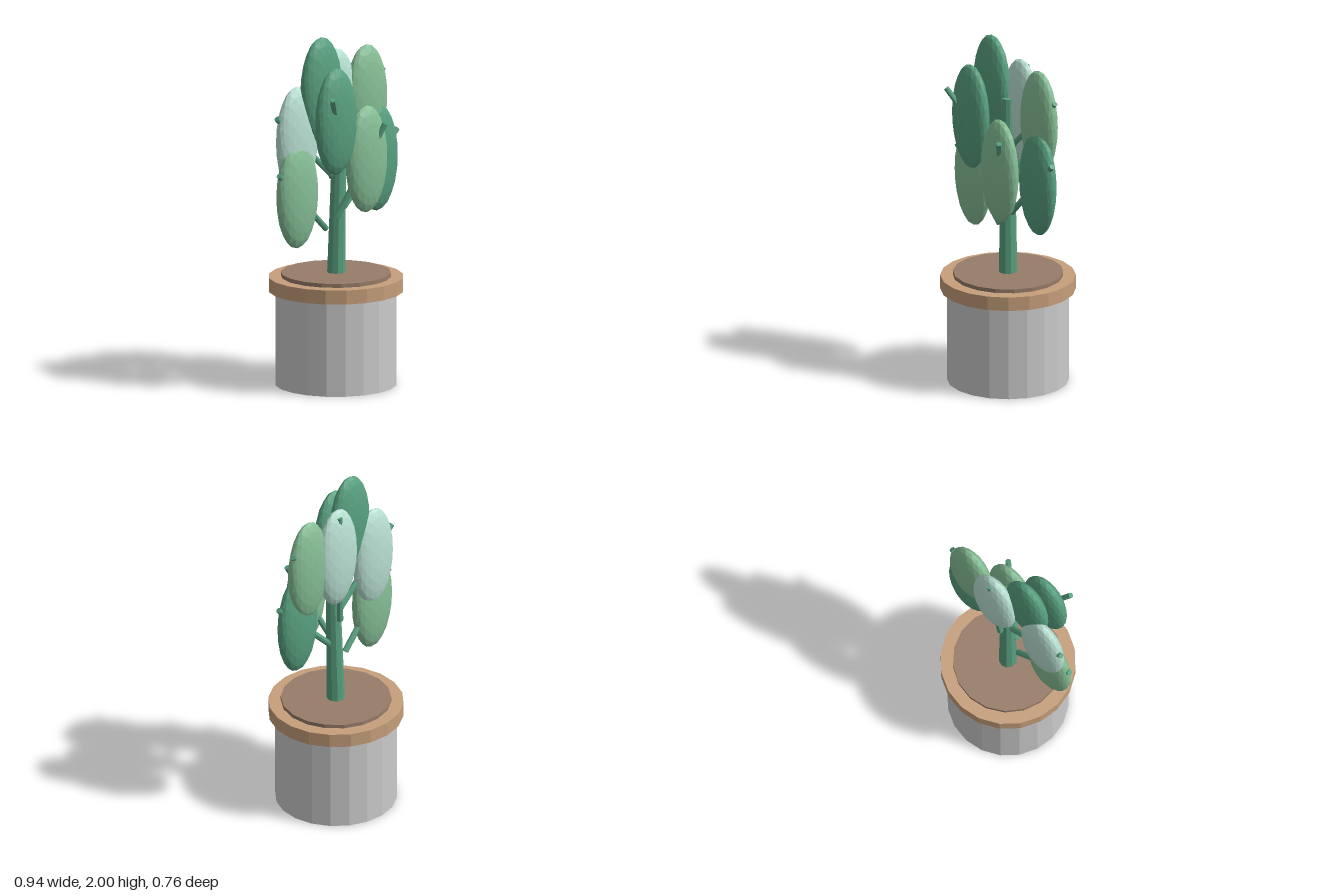
import * as THREE from 'three';

const mat = (color) => new THREE.MeshStandardMaterial({ color, flatShading: true });

export function createModel() {
  const model = new THREE.Group();
  model.name = 'pottedPlant';
  const grey = mat(0xcccccc), clay = mat(0xc69f7b), earth = mat(0x987c69);
  const dark = mat(0x58a07f), light = mat(0x86bf96), mint = mat(0xb9e0d3);

  const add = (name, geometry, material, parent = model) => {
    const mesh = new THREE.Mesh(geometry, material);
    mesh.name = name;
    parent.add(mesh);
    return mesh;
  };

  // Upright cylinder standing between two heights
  const drum = (name, radius, y0, y1, sides, material) => {
    const mesh = add(name, new THREE.CylinderGeometry(radius, radius, y1 - y0, sides), material);
    mesh.position.set(0.003, (y0 + y1) / 2, 0);
  };

  // Pot, rim and soil
  drum('pot', 0.34, 0, 0.58, 20, grey);
  drum('rim', 0.378, 0.535, 0.615, 20, clay);
  drum('soil', 0.308, 0.56, 0.637, 18, earth);

  // Tapered rod between two points
  const rod = (name, from, to, r0, r1, sides, material, parent) => {
    const a = new THREE.Vector3(...from), b = new THREE.Vector3(...to);
    const dir = b.clone().sub(a);
    const mesh = add(name, new THREE.CylinderGeometry(r1, r0, dir.length(), sides), material, parent);
    mesh.position.copy(a).add(b).multiplyScalar(0.5);
    mesh.quaternion.setFromUnitVectors(new THREE.Vector3(0, 1, 0), dir.normalize());
    return mesh;
  };

  // Stem, leaning slightly
  rod('stem', [0.004, 0.6, 0], [0.022, 1.67, 0.015], 0.052, 0.034, 10, dark);

  // Leaves: flattened faceted ellipsoids, each pierced by a stalk
  const leafShape = new THREE.IcosahedronGeometry(1, 3).scale(0.151, 0.305, 0.067);
  const leaves = [
    // centre, material, stalk base, stalk tip
    [[-0.128, 1.695, 0.015], dark, [0.01, 1.42, 0.01], [-0.13, 1.85, 0.015]],
    [[-0.145, 1.542, 0.148], dark, [0.005, 1.28, 0.045], [-0.257, 1.695, 0.235]],
    [[0.108, 1.287, 0.134], light, [-0.025, 0.96, 0.035], [0.19, 1.485, 0.2]],
    [[0.307, 1.247, 0.018], dark, [0.05, 1.0, 0.01], [0.455, 1.39, 0.028]],
    [[0.264, 1.587, -0.022], light, [0.03, 1.38, 0], [0.403, 1.735, -0.03]],
    [[0.055, 1.59, -0.053], mint, [0.02, 1.16, -0.045], [0.066, 1.86, -0.082]],
    [[-0.283, 1.432, -0.022], mint, [-0.03, 1.195, 0.0], [-0.432, 1.575, -0.032]],
    [[-0.31, 1.128, 0.008], light, [-0.075, 0.897, 0.0], [-0.458, 1.26, 0.012]],
  ];
  leaves.forEach(([centre, material, base, tip], i) => {
    const group = new THREE.Group();
    group.name = `branch${i + 1}`;
    model.add(group);
    add('leaf', leafShape, material, group).position.set(...centre);
    rod('stalk', base, tip, 0.018, 0.016, 8, dark, group);
  });

  return model;
}
